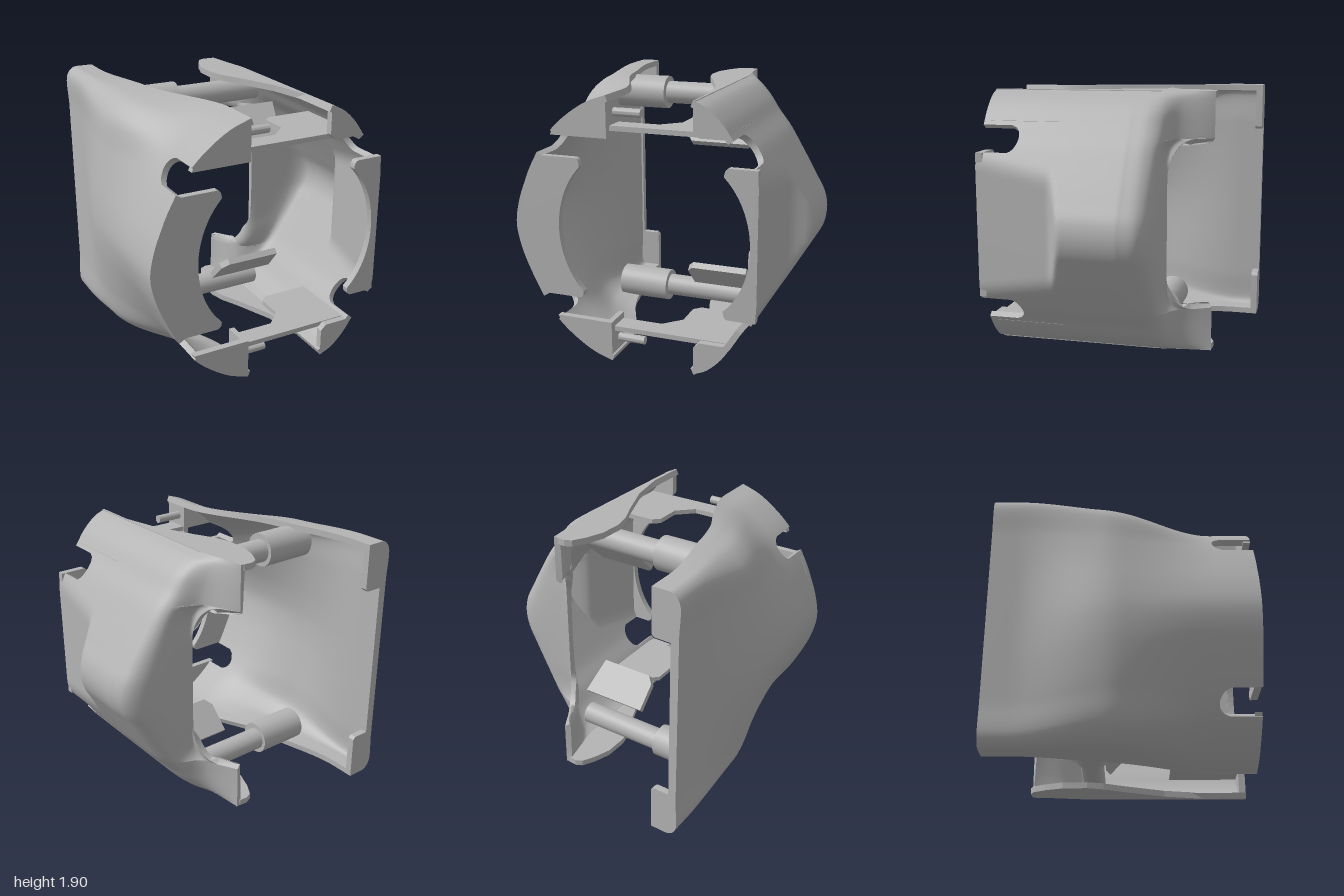
import * as THREE from 'three';
import { toCreasedNormals } from 'three/addons/utils/BufferGeometryUtils.js';

const H = 1.9, MID = H / 2, WALL = 0.045;
const smooth = THREE.MathUtils.smoothstep, lerp = THREE.MathUtils.lerp;

// Profile from top edge (t = 0) over mid height (t = 1) to its mirrored bottom edge (t = 2)
function profile(points) {
  const mirrored = points.slice(0, -1).reverse().map(([x, y]) => [x, H - y]);
  const c = new THREE.CatmullRomCurve3([...points, ...mirrored].map(([x, y]) => new THREE.Vector3(x, y, 0)));
  return t => c.getPoint(t / 2);
}

// Parameter at which a profile drops to height y
function paramAt(fn, y) {
  let a = 0, b = 1;
  for (let i = 0; i < 30; i++) {
    const m = (a + b) / 2;
    if (fn(m).y > y) a = m; else b = m;
  }
  return a;
}

// Rows across the shell, with doubled rows at sharp steps
function rowList(steps) {
  const rows = [];
  for (let i = 0; i <= 112; i++) rows.push(i / 56);
  for (const s of steps) for (const e of [-0.0006, 0.0006]) rows.push(s + e, 2 - s + e);
  return rows.sort((a, b) => a - b);
}

// Walled sheet: surf(t, q) trimmed to q0..qEnd(t), thickened inwards
function shellGeometry(surf, rows, q0, qEnd, nq, side) {
  const R = rows.length, C = nq + 1, pos = [], inner = [], idx = [];
  const e = 0.004;
  const normal = (t, q) => {
    const ta = Math.max(0, t - e), tb = Math.min(2, t + e);
    const qa = Math.max(q0, q - e), qb = Math.min(1, q + e);
    const du = surf(tb, q).sub(surf(ta, q)), dv = surf(t, qb).sub(surf(t, qa));
    return du.cross(dv).normalize();
  };
  const flip = normal(1, 0.3).x * side < 0;
  for (const t of rows) for (let j = 0; j < C; j++) {
    const q = Math.min(lerp(q0, 1, j / nq), qEnd(t)), p = surf(t, q);
    const n = normal(t, q).multiplyScalar(flip ? WALL : -WALL);
    pos.push(p.x, p.y, p.z);
    n.add(p);
    inner.push(n.x, n.y, n.z);
  }
  const N = R * C;
  const tri = (a, b, c) => flip ? idx.push(a, c, b) : idx.push(a, b, c);
  for (let i = 0; i < R - 1; i++) for (let j = 0; j < nq; j++) {
    const a = i * C + j, b = a + C, c = b + 1, d = a + 1;
    tri(a, b, c); tri(a, c, d);
    tri(a + N, c + N, b + N); tri(a + N, d + N, c + N);
  }
  // rim around the border
  const loop = [];
  for (let i = 0; i < R - 1; i++) loop.push(i * C);
  for (let j = 0; j < nq; j++) loop.push((R - 1) * C + j);
  for (let i = R - 1; i > 0; i--) loop.push(i * C + nq);
  for (let j = nq; j > 0; j--) loop.push(j);
  loop.forEach((a, k) => {
    const b = loop[(k + 1) % loop.length];
    tri(a, a + N, b + N); tri(a, b + N, b);
  });
  const g = new THREE.BufferGeometry();
  g.setAttribute('position', new THREE.Float32BufferAttribute(pos.concat(inner), 3));
  g.setIndex(idx);
  return toCreasedNormals(g, 0.8);
}

// Front trim with a round-ended slot between ta and tb
const slotTrim = (ta, tb, end, round) => t => {
  const u = t > 1 ? 2 - t : t;
  if (u < ta || u > tb) return 1;
  const k = (u - (ta + tb) / 2) / ((tb - ta) / 2);
  return end + round * (1 - Math.sqrt(Math.max(0, 1 - k * k)));
};

export function createModel() {
  const group = new THREE.Group();
  const grey = new THREE.MeshStandardMaterial({ color: 0xb4b4b4, side: THREE.DoubleSide });
  grey.name = 'grey plastic';
  const add = (name, geo) => {
    const m = new THREE.Mesh(geo, grey);
    m.name = name;
    group.add(m);
    return m;
  };
  const shapeOf = pts => new THREE.Shape(pts.map(([x, y]) => new THREE.Vector2(x, y)));
  const flipY = pts => pts.map(([x, y]) => [x, H - y]);
  // Upright plate facing the front
  const plate = (name, shape, z, depth) =>
    add(name, new THREE.ExtrudeGeometry(shape, { depth, bevelEnabled: false, curveSegments: 24 }).translate(0, 0, z));
  // Level plate drawn in x and z, hanging down from its top
  const slab = (name, pts, top, depth) =>
    add(name, new THREE.ExtrudeGeometry(shapeOf(pts), { depth, bevelEnabled: false }).rotateX(Math.PI / 2).translate(0, top, 0));
  const box = (name, x0, x1, y0, y1, z0, z1) =>
    add(name, new THREE.BoxGeometry(x1 - x0, y1 - y0, z1 - z0).translate((x0 + x1) / 2, (y0 + y1) / 2, (z0 + z1) / 2));
  const rod = (name, r, x0, x1, y, z) =>
    add(name, toCreasedNormals(new THREE.CylinderGeometry(r, r, x1 - x0, 28).rotateZ(Math.PI / 2), 0.6)).position.set((x0 + x1) / 2, y, z);

  // Right half: flat back plate blending into a round front
  const back = profile([[-.66, 1.9], [-.74, 1.9], [-.81, 1.895], [-.86, 1.84], [-.86, 1.6], [-.86, 1.35], [-.86, 1.15], [-.86, .95]]);
  const middle = profile([[-.53, 1.9], [-.62, 1.89], [-.75, 1.86], [-.87, 1.75], [-.925, 1.52], [-.965, 1.3], [-.99, 1.12], [-1, .95]]);
  const front = profile([[-.28, 1.9], [-.42, 1.85], [-.55, 1.77], [-.68, 1.66], [-.78, 1.53], [-.9, 1.3], [-.97, 1.12], [-1, .95]]);
  const plateSurf = (t, q) => {
    const z = lerp(-.93, .92, q);
    const p = back(t).lerp(middle(t), smooth(z, -.75, 0)).lerp(front(t), smooth(z, -.15, .65));
    return p.setZ(z);
  };
  let a = paramAt(front, 1.64), b = paramAt(front, 1.48);
  add('rightShell', shellGeometry(plateSurf, rowList([a, b]), 0, slotTrim(a, b, .845, .045), 60, -1));

  // Rear lip of the flat plate, deeper at its corners
  plate('rearLip', shapeOf([[-.855, .06], [-.82, .01], [-.66, .005], [-.66, .33], [-.68, .35], [-.8, .35],
    [-.8, 1.55], [-.68, 1.55], [-.66, 1.57], [-.66, 1.895], [-.82, 1.89], [-.855, 1.84]]), -.93, .05);

  // Front tab of the right half, with a round inner edge
  const tabR = new THREE.Shape();
  tabR.moveTo(-.82, 1.46);
  tabR.lineTo(-.53, 1.46);
  tabR.quadraticCurveTo(-.49, 1.46, -.49, 1.4);
  tabR.bezierCurveTo(-.72, 1.16, -.72, .74, -.49, .5);
  tabR.quadraticCurveTo(-.49, .45, -.53, .45);
  tabR.lineTo(-.82, .45);
  tabR.quadraticCurveTo(-1.13, .95, -.82, 1.46);
  plate('rightFrontTab', tabR, .87, .05);

  // Left half: bulging side that turns into a rear wall with two lobes
  const bulge = profile([[.33, 1.9], [.42, 1.86], [.52, 1.77], [.6, 1.66], [.69, 1.55], [.785, 1.4], [.91, 1.19], [.98, 1.06], [1, .95]]);
  const rearCache = new Map();
  const rearPath = t => {
    if (!rearCache.has(t)) {
      const { x, y } = bulge(t), k = THREE.MathUtils.clamp((x - .33) / .67, 0, 1);
      const f = THREE.MathUtils.clamp((Math.abs(y - MID) - .35) / .27, 0, 1);
      const lobe = f >= 1 ? 1 : .6 * (1 - Math.sqrt(1 - f * f));
      const dx = lerp(.31, .53, k), dz = -.38 - .12 * (1 - k) * smooth(lobe, 0, .6);
      const pts = [[x, -.15], [x - .03 * k, -.28], [x - .12 * k, -.345], [dx, dz],
        [lerp(.46, .29, lobe), lerp(-.385, -.69, lobe)]];
      rearCache.set(t, new THREE.CatmullRomCurve3(pts.map(([px, pz]) => new THREE.Vector3(px, y, pz))));
    }
    return rearCache.get(t);
  };
  const bulgeSurf = (t, q) => {
    if (q < 0) return rearPath(t).getPoint(-q);
    const p = bulge(t), z = lerp(-.15, .92, q);
    // flat grip recess near the front, blended softly into the bulge
    const limit = lerp(1.06, .83 - .06 * Math.max(0, z - .36) / .56, smooth(z, .21, .38));
    const h = Math.max(0, .04 - Math.abs(p.x - limit)) / .04;
    return p.set(Math.min(p.x, limit) - h * h * .01, p.y, z);
  };
  a = paramAt(bulge, 1.66);
  b = paramAt(bulge, 1.48);
  const lobeStep = paramAt(bulge, 1.57);
  add('leftShell', shellGeometry(bulgeSurf, rowList([a, b, lobeStep]), -1, slotTrim(a, b, .73, .07), 100, 1));

  // Front tab of the left half
  const tabL = new THREE.Shape();
  tabL.moveTo(.765, 1.48);
  tabL.lineTo(.58, 1.48);
  tabL.quadraticCurveTo(.54, 1.48, .54, 1.42);
  tabL.bezierCurveTo(.78, 1.18, .78, .72, .54, .5);
  tabL.quadraticCurveTo(.54, .44, .58, .44);
  tabL.lineTo(.765, .44);
  plate('leftFrontTab', tabL, .87, .05);

  // Flanges, lips, rods, bars and inner tabs, top and bottom
  const flange = [[.33, .92], [.33, .6], [.27, .3], [.15, 0], [.08, -.15], [.05, -.27], [.055, -.45], [.1, -.58],
    [.15, -.67], [.2, -.695], [.26, -.69], [.29, -.66], [.31, -.5], [.34, -.3], [.345, .92]];
  const bar = [[-.3, .87], [-.3, .72], [.02, .72], [.14, .6], [.14, .4], [.19, .35], [.58, .35], [.58, .87]];
  const lipR = [[-.28, 1.895], [-.28, 1.61], [-.7, 1.61], [-.68, 1.655], [-.55, 1.765], [-.42, 1.845]];
  const lipL = [[.33, 1.895], [.33, 1.7], [.37, 1.66], [.595, 1.66], [.52, 1.765], [.42, 1.855]];
  const tab = [[-.03, 1.65], [-.03, 1.47], [.02, 1.42], [.45, 1.42], [.5, 1.65]];
  for (const top of [true, false]) {
    const at = y => top ? y : H - y;
    const pts = p => shapeOf(top ? p : flipY(p));
    const w = top ? 'top' : 'bottom';
    slab(w + 'Flange', flange, top ? H : .045, .045);
    slab(w + 'FrontBar', bar, top ? 1.69 : .245, .035);
    plate(w + 'RightLip', pts(lipR), .87, .05);
    plate(w + 'LeftLip', pts(lipL), .87, .05);
    const [y0, y1] = [at(1.61), at(1.87)].sort((m, n) => m - n);
    box(w + 'RodBracket', -.32, -.28, y0, y1, .71, .9);
    rod(w + 'RearSocket', .125, -.68, -.28, at(1.75), -.22);
    rod(w + 'RearRod', .085, -.28, .4, at(1.75), -.23);
    rod(w + 'Pin', .03, -.3, -.08, at(1.77), .79);
    // tilted inner tab
    const m = plate(w + 'InnerTab', pts(tab), -.02, .04);
    m.geometry.translate(0, -at(1.535), 0).rotateX(top ? -.8 : .8).scale(1, 1.25, 1.25);
    m.position.set(0, at(1.535), -.025);
  }
  return group;
}
